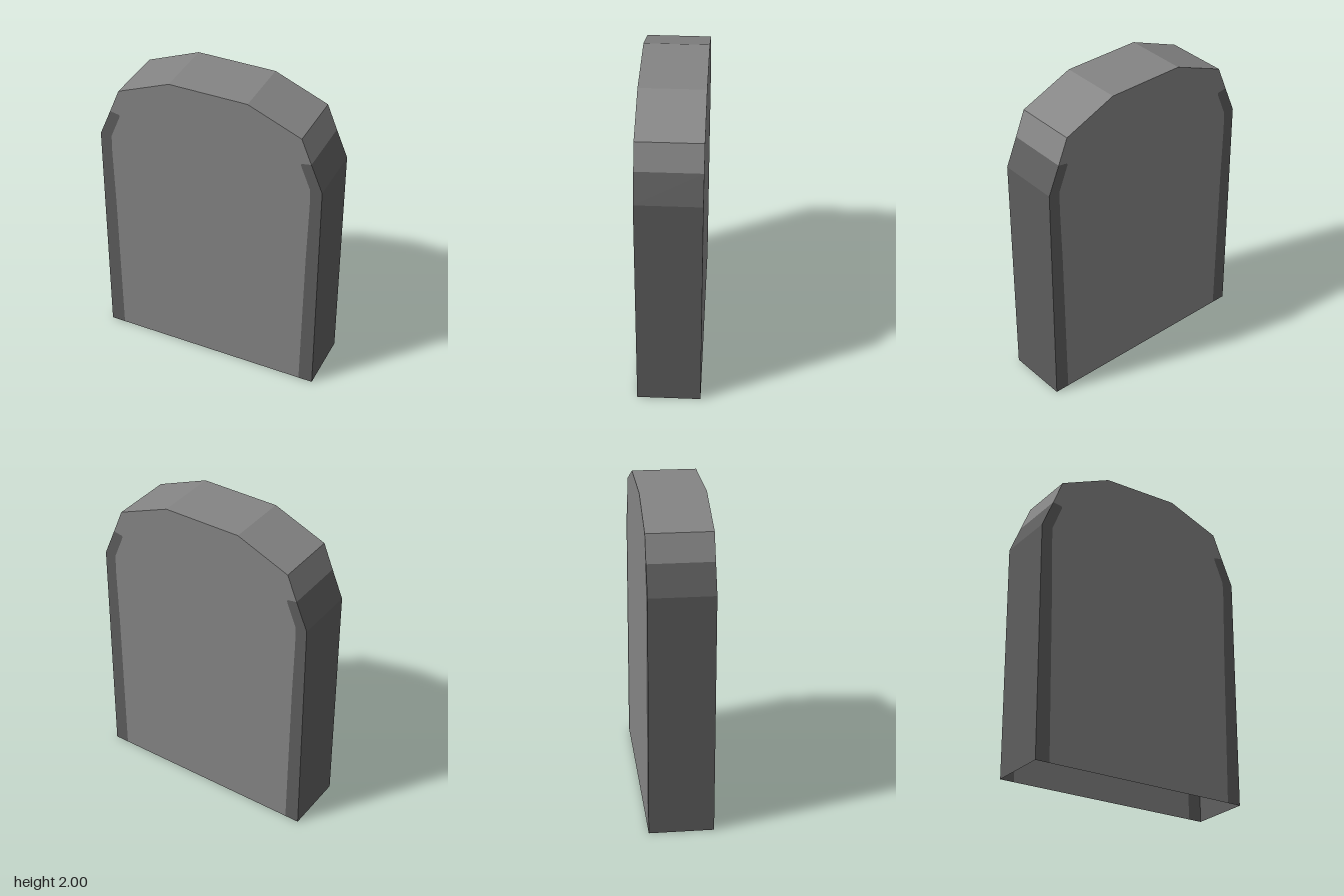
import * as THREE from 'three';

const DEPTH = 0.4;

// Outline of the right-hand half, from the open foot up to the flat top
const EDGE = [[0.732, 0], [0.732, 1.52], [0.657, 1.7], [0.592, 1.86], [0.252, 2]];
// Inner border of the dark side band, from its upper end down to the foot
const BAND = [[0.597, 1.69], [0.593, 1.68], [0.598, 1.665], [0.657, 1.52], [0.659, 1.4], [0.65, 1.02], [0.639, 0]];

const flip = (pts) => pts.map(([x, y]) => [-x, y]).reverse();
const shapeOf = (pts) => new THREE.ShapeGeometry(new THREE.Shape(pts.map(([x, y]) => new THREE.Vector2(x, y))));

// Flat-shaded strip of wall following a counter-clockwise path through the full depth
function wallGeometry(path) {
  const h = DEPTH / 2;
  const pos = [];
  for (let i = 0; i < path.length - 1; i++) {
    const [ax, ay] = path[i];
    const [bx, by] = path[i + 1];
    pos.push(ax, ay, h, ax, ay, -h, bx, by, -h, ax, ay, h, bx, by, -h, bx, by, h);
  }
  const g = new THREE.BufferGeometry();
  g.setAttribute('position', new THREE.Float32BufferAttribute(pos, 3));
  g.computeVertexNormals();
  return g;
}

export function createModel() {
  const group = new THREE.Group();
  const grey = new THREE.MeshStandardMaterial({ color: 0x848484, side: THREE.DoubleSide });
  grey.name = 'mid grey';
  const dark = new THREE.MeshStandardMaterial({ color: 0x5d5d5d, side: THREE.DoubleSide });
  dark.name = 'dark grey';

  const add = (parent, name, geometry, material) => {
    const mesh = new THREE.Mesh(geometry, material);
    mesh.name = name;
    parent.add(mesh);
  };

  // Front and back faces: a grey panel between two dark side bands
  const bandPts = [...EDGE.slice(0, 3), ...BAND];
  const half = [...[...BAND].reverse(), ...EDGE.slice(2)];
  for (const [name, angle] of [['frontFace', 0], ['backFace', Math.PI]]) {
    const face = new THREE.Group();
    face.name = name;
    face.rotation.y = angle;
    add(face, 'panel', shapeOf([...half, ...flip(half)]), grey);
    add(face, 'bandA', shapeOf(bandPts), dark);
    add(face, 'bandB', shapeOf(flip(bandPts)), dark);
    for (const m of face.children) m.position.z = DEPTH / 2;
    group.add(face);
  }

  // Dark side walls and the grey faceted top; the foot stays open
  const side = EDGE.slice(0, 3);
  const top = EDGE.slice(2);
  add(group, 'leftWall', wallGeometry(side), dark);
  add(group, 'rightWall', wallGeometry(flip(side)), dark);
  add(group, 'topWall', wallGeometry([...top, ...flip(top)]), grey);

  return group;
}
